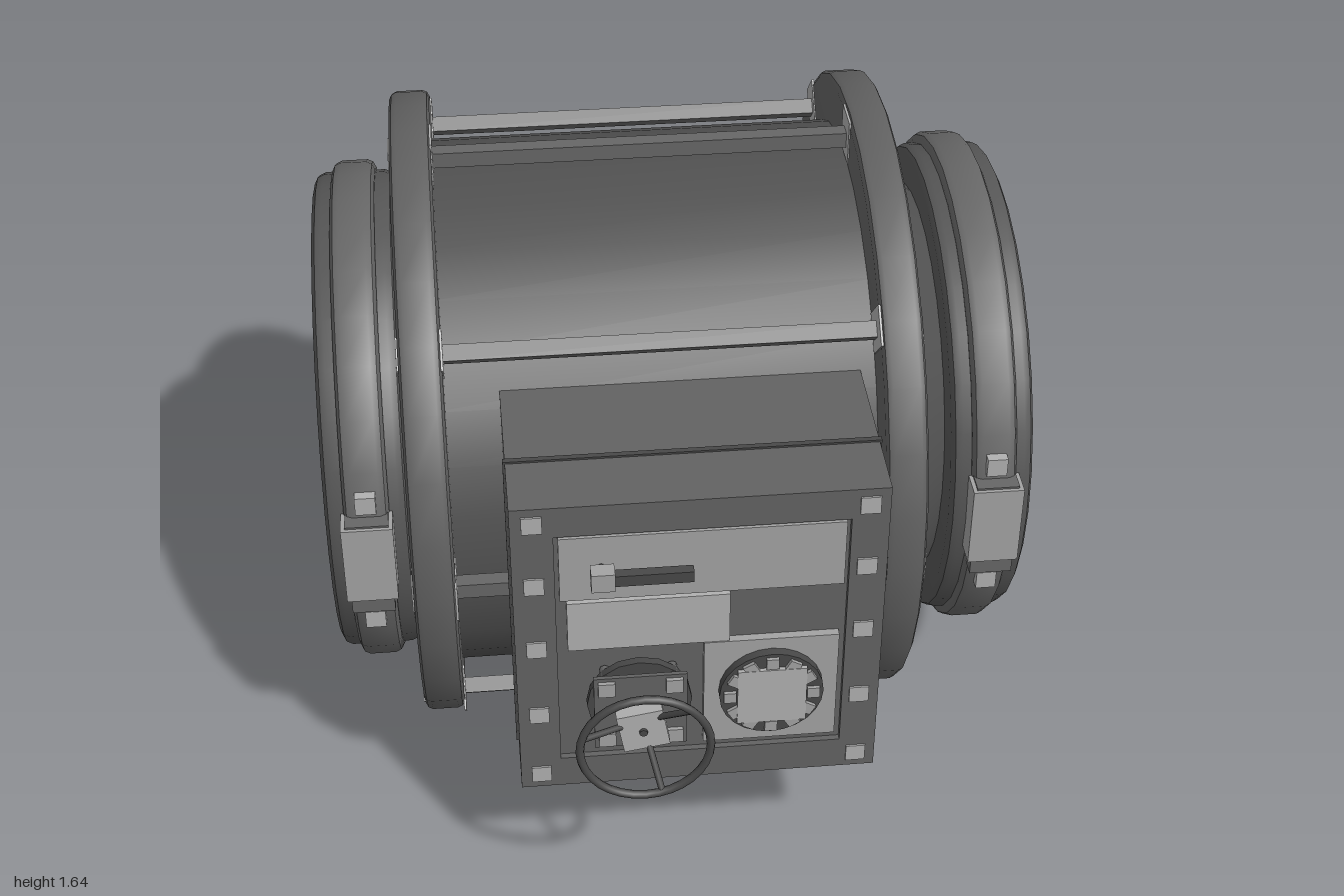
import * as THREE from 'three';
import { toCreasedNormals } from 'three/addons/utils/BufferGeometryUtils.js';

const CY = 0.826, CZ = -0.185; // axis of the vessel, running along x

const paint = (color) => new THREE.MeshStandardMaterial({ color });
const BARREL = paint(0x515151), FLANGE = paint(0x606060), CAP = paint(0x565656);
const STEEL = paint(0x666666), BRIGHT = paint(0xb0b0b0), CABINET = paint(0x626262);
const PANEL = paint(0xa2a2a2), DARK = paint(0x484848);

function add(parent, name, material, geometry, x = 0, y = 0, z = 0) {
  const mesh = new THREE.Mesh(geometry, material);
  mesh.name = name;
  mesh.position.set(x, y, z);
  parent.add(mesh);
  return mesh;
}

const box = (w, h, d) => new THREE.BoxGeometry(w, h, d);

// Box given by its limits
function block(parent, name, material, x0, x1, y0, y1, z0, z1) {
  add(parent, name, material, box(x1 - x0, y1 - y0, z1 - z0), (x0 + x1) / 2, (y0 + y1) / 2, (z0 + z1) / 2);
}

// Profile of [x, radius] pairs turned about the x axis
function turned(profile) {
  const g = new THREE.LatheGeometry(profile.map(([x, r]) => new THREE.Vector2(r, x)), 32);
  g.rotateZ(-Math.PI / 2);
  return toCreasedNormals(g, 0.6);
}

// Bevelled disc between x0 and x1
const disc = (x0, x1, r, b) => turned([
  [x0, 0], [x0, r - b], [x0 + b * 0.35, r - b * 0.3], [x0 + b, r],
  [x1 - b, r], [x1 - b * 0.35, r - b * 0.3], [x1, r - b], [x1, 0]
]);

// Cylinder facing +z
function drum(r, depth, sides = 24) {
  return new THREE.CylinderGeometry(r, r, depth, sides).rotateX(Math.PI / 2);
}

function buildVessel() {
  const vessel = new THREE.Group();
  vessel.name = 'vessel';
  vessel.position.set(0, CY, CZ);
  add(vessel, 'barrel', BARREL, turned([[-0.6, 0.685], [0.5, 0.685]]));
  add(vessel, 'leftFlange', FLANGE, disc(0.469, 0.571, 0.813, 0.018));
  add(vessel, 'rightFlange', FLANGE, disc(-0.665, -0.563, 0.813, 0.018));
  add(vessel, 'neckCone', BARREL, turned([[0.565, 0.61], [0.68, 0.5]]));

  // Square tie bars with plates on both flanges
  for (let i = 0; i < 8; i++) {
    const tie = new THREE.Group();
    tie.name = 'tieBar' + i;
    tie.position.y = -0.01;
    tie.rotation.x = i * Math.PI / 4;
    add(tie, 'bar', STEEL, box(1.1, 0.04, 0.04), -0.047, 0.75, 0);
    for (const x of [-0.664, 0.57]) add(tie, 'boltHead', BRIGHT, box(0.01, 0.075, 0.08), x, 0.748, 0);
    for (const x of [-0.563, 0.469]) add(tie, 'innerPlate', BRIGHT, box(0.006, 0.115, 0.1), x, 0.757, 0);
    vessel.add(tie);
  }

  // End caps, each with a clamp band and two locking blocks
  for (const s of [-1, 1]) {
    const cap = new THREE.Group();
    cap.name = s > 0 ? 'leftCap' : 'rightCap';
    cap.position.set(s * 0.768, -0.012, 0);
    add(cap, 'capDisc', CAP, disc(-0.102, 0.102, 0.622, 0.025));
    add(cap, 'clampBand', STEEL, disc(-0.055, 0.055, 0.65, 0.022));
    for (const f of [-1, 1]) {
      add(cap, 'clampBlock', PANEL, box(0.125, 0.22, 0.07), 0, 0.025, f * 0.645);
      add(cap, 'clampHousing', STEEL, box(0.105, 0.27, 0.055), 0, 0.005, f * 0.643);
      for (const y of [0.177, -0.183]) add(cap, 'clampNut', BRIGHT, box(0.05, 0.05, 0.06), 0, y, f * 0.61);
    }
    vessel.add(cap);
  }
  return vessel;
}

function buildCabinet() {
  const cabinet = new THREE.Group();
  cabinet.name = 'controlCabinet';
  block(cabinet, 'cabinetBody', CABINET, -0.433, 0.433, 0.37, 1.24, 0.3, 0.795);
  block(cabinet, 'cabinetSeam', DARK, -0.438, 0.438, 0.365, 1.245, 0.626, 0.64);

  // Front frame around a shallow recess
  const frame = new THREE.Shape();
  frame.moveTo(-0.433, 0.37).lineTo(0.433, 0.37).lineTo(0.433, 1.24).lineTo(-0.433, 1.24).closePath();
  const hole = new THREE.Path();
  hole.moveTo(-0.335, 0.46).lineTo(-0.335, 1.155).lineTo(0.345, 1.155).lineTo(0.345, 0.46).closePath();
  frame.holes.push(hole);
  add(cabinet, 'frontFrame', CABINET, new THREE.ExtrudeGeometry(frame, { depth: 0.015, bevelEnabled: false }), 0, 0, 0.795);

  block(cabinet, 'upperPanel', PANEL, -0.325, 0.335, 0.965, 1.15, 0.79, 0.812);
  block(cabinet, 'middlePanel', BRIGHT, -0.31, 0.07, 0.81, 0.955, 0.79, 0.812);
  block(cabinet, 'lowerPanel', PANEL, 0.01, 0.33, 0.49, 0.81, 0.79, 0.815);
  for (const x of [-0.383, 0.386])
    for (const y of [1.195, 1.014, 0.82, 0.61, 0.414])
      add(cabinet, 'frameBolt', BRIGHT, box(0.047, 0.047, 0.01), x, y, 0.81);

  // Lever on the upper panel
  block(cabinet, 'leverHub', PANEL, -0.255, -0.2, 1.035, 1.085, 0.83, 0.87);
  block(cabinet, 'leverArm', DARK, -0.2, -0.02, 1.045, 1.075, 0.84, 0.865);
  add(cabinet, 'leverPost', DARK, drum(0.012, 0.06, 10), -0.228, 1.06, 0.82);

  // Round port ringed with square studs
  const port = new THREE.Group();
  port.name = 'port';
  port.position.set(0.17, 0.655, 0);
  add(port, 'portDisc', DARK, drum(0.125, 0.03), 0, 0, 0.822);
  for (let i = 0; i < 12; i++) {
    const a = i * Math.PI / 6;
    add(port, 'portStud', PANEL, box(0.03, 0.03, 0.02), 0.1 * Math.cos(a), 0.1 * Math.sin(a), 0.836).rotation.z = a;
  }
  add(port, 'portCover', BRIGHT, box(0.165, 0.165, 0.02), 0, 0, 0.837);
  cabinet.add(port);
  return cabinet;
}

function buildHandwheel() {
  const wheel = new THREE.Group();
  wheel.name = 'handwheel';
  wheel.position.set(-0.145, 0.655, 0);

  // Mounting plate on four posts
  add(wheel, 'mountPlate', CABINET, box(0.22, 0.22, 0.01), 0, 0, 0.862);
  add(wheel, 'mountBase', DARK, drum(0.125, 0.02, 16), 0, 0, 0.825);
  for (const x of [-0.08, 0.08])
    for (const y of [-0.08, 0.08]) {
      add(wheel, 'mountPost', STEEL, drum(0.012, 0.06, 8), x, y, 0.83);
      add(wheel, 'mountNut', PANEL, box(0.04, 0.04, 0.014), x, y, 0.87);
    }

  // Wheel on its shaft, with three raked spokes
  add(wheel, 'shaft', STEEL, drum(0.02, 0.12, 12), 0, 0, 0.855);
  add(wheel, 'hub', BRIGHT, box(0.11, 0.11, 0.035), 0, 0, 0.918).rotation.z = 0.17;
  add(wheel, 'hubPin', DARK, drum(0.01, 0.01, 8), 0, 0, 0.938);
  for (let i = 0; i < 3; i++) {
    const a = Math.PI / 4 + i * Math.PI * 2 / 3, c = Math.cos(a), s = Math.sin(a);
    const path = new THREE.LineCurve3(
      new THREE.Vector3(0.03 * c, 0.03 * s, 0.915), new THREE.Vector3(0.153 * c, 0.153 * s, 0.99));
    add(wheel, 'spoke', DARK, new THREE.TubeGeometry(path, 1, 0.008, 8));
  }
  add(wheel, 'rim', DARK, new THREE.TorusGeometry(0.153, 0.01, 8, 32), 0, 0, 0.99);
  return wheel;
}

export function createModel() {
  const model = new THREE.Group();
  model.name = 'pressureVessel';
  model.add(buildVessel(), buildCabinet(), buildHandwheel());
  return model;
}
